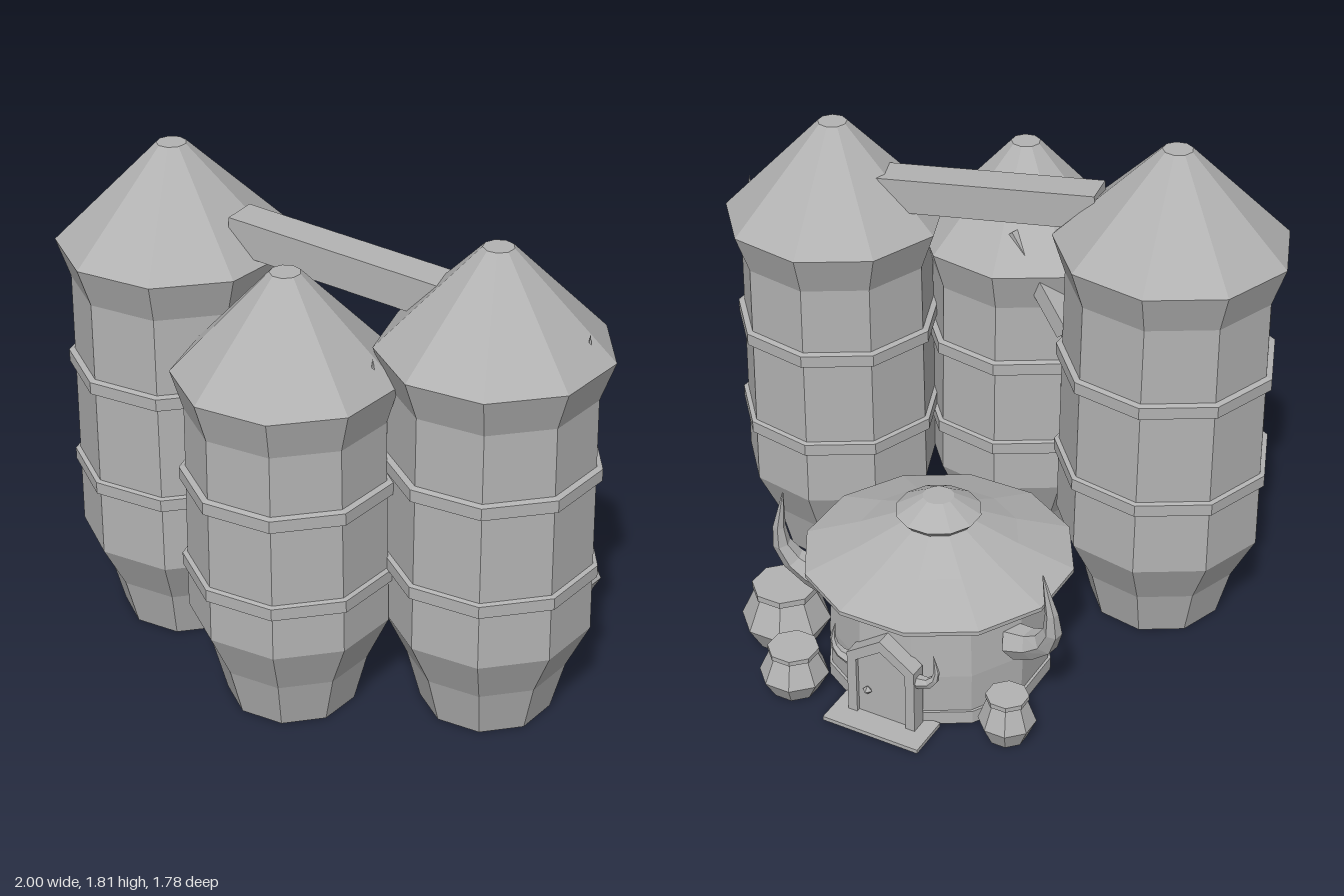
import * as THREE from 'three';

const stone = new THREE.MeshStandardMaterial({ color: 0xb2b2b2, flatShading: true });
stone.name = 'plainGrey';

function add(parent, name, geometry, x = 0, y = 0, z = 0) {
  const mesh = new THREE.Mesh(geometry, stone);
  mesh.name = name;
  mesh.position.set(x, y, z);
  parent.add(mesh);
  return mesh;
}

// faceted turned body from [radius, height] pairs, bottom to top
function turned(points, sides, start) {
  return new THREE.LatheGeometry(points.map(([r, y]) => new THREE.Vector2(r, y)), sides, start);
}

// closed rectangular bar between two points
function bar(parent, name, a, b, height, depth) {
  const mesh = add(parent, name, new THREE.BoxGeometry(depth, height, a.distanceTo(b)));
  mesh.position.copy(a).add(b).multiplyScalar(0.5);
  mesh.lookAt(b);
  return mesh;
}

// tapered curved horn: a tube whose rings shrink to the tip
function horn(points, radius) {
  const curve = new THREE.CatmullRomCurve3(points.map(p => new THREE.Vector3(...p)));
  const steps = 6, sides = 6;
  const geo = new THREE.TubeGeometry(curve, steps, radius, sides);
  const pos = geo.attributes.position, v = new THREE.Vector3();
  for (let i = 0; i <= steps; i++) {
    const c = curve.getPointAt(i / steps);
    for (let j = 0; j <= sides; j++) {
      const k = i * (sides + 1) + j;
      v.fromBufferAttribute(pos, k).sub(c).multiplyScalar(1 - 0.97 * i / steps).add(c);
      pos.setXYZ(k, v.x, v.y, v.z);
    }
  }
  return geo;
}

function silo(parent, { name, x, z, top, eave, wall, foot, rings }) {
  const g = new THREE.Group();
  g.name = name;
  g.position.set(x, 0, z);
  parent.add(g);
  const start = -Math.PI / 2, e = top - 0.35;
  add(g, 'siloBody', turned([[0, 0], [foot, 0], [foot + 0.047, 0.18], [wall, 0.35],
    [wall - 0.01, e - 0.14], [eave, e]], 9, start));
  add(g, 'siloRoof', turned([[eave, e], [0.052, top], [0, top]], 9, start));
  for (const y of rings) {
    add(g, 'siloBand', turned([[wall - 0.02, y - 0.028], [wall + 0.014, y - 0.024],
      [wall + 0.014, y + 0.02], [wall - 0.02, y + 0.028]], 9, start));
  }
}

function pot(parent, x, z, r, h) {
  add(parent, 'pot', turned([[0, 0], [r * 0.68, 0], [r, h * 0.4], [r * 0.68, h * 0.9],
    [r * 0.74, h * 0.9], [r * 0.74, h], [0, h]], 8, Math.PI / 8), x, 0, z);
}

function gable(w, eave, apex) {
  const s = new THREE.Shape();
  s.moveTo(-w, 0);
  s.lineTo(w, 0);
  s.lineTo(w, eave);
  s.lineTo(0, apex);
  s.lineTo(-w, eave);
  s.closePath();
  return s;
}

function hut(parent) {
  const g = new THREE.Group();
  g.name = 'hut';
  g.position.set(-0.065, 0, -0.38);
  parent.add(g);
  const start = Math.PI / 12;
  add(g, 'hutWall', turned([[0, 0], [0.4, 0], [0.4, 0.05], [0.39, 0.05], [0.395, 0.2], [0.38, 0.44]], 12, start));
  add(g, 'hutRoof', turned([[0.37, 0.42], [0.475, 0.435], [0.475, 0.45], [0.28, 0.525],
    [0.12, 0.6]], 12, start));
  add(g, 'roofCap', turned([[0.12, 0.59], [0.15, 0.622], [0.055, 0.68], [0, 0.68]], 12, start));

  // doorway on the back side with a stepped frame and a threshold
  const frame = gable(0.13, 0.25, 0.34);
  frame.holes.push(gable(0.095, 0.23, 0.295));
  add(g, 'doorFrame', new THREE.ExtrudeGeometry(frame, { depth: 0.06, bevelEnabled: false }), -0.01, 0.01, -0.43);
  add(g, 'door', new THREE.ExtrudeGeometry(gable(0.1, 0.23, 0.295), { depth: 0.04, bevelEnabled: false }), -0.01, 0.01, -0.415);
  add(g, 'doorKnob', new THREE.OctahedronGeometry(0.018), 0.045, 0.12, -0.425);
  add(g, 'threshold', new THREE.BoxGeometry(0.37, 0.015, 0.16), -0.01, 0.0075, -0.43);

  // mirrored horns on the walls and beside the door
  for (const s of [-1, 1]) {
    add(g, 'wallHorn', horn([[s * 0.36, 0.28, -0.13], [s * 0.47, 0.32, -0.15],
      [s * 0.53, 0.42, -0.18], [s * 0.5, 0.65, -0.2]], 0.065));
    add(g, 'doorHorn', horn([[s * 0.11 - 0.01, 0.21, -0.4], [s * 0.17 - 0.01, 0.22, -0.4],
      [s * 0.2 - 0.01, 0.26, -0.4], [s * 0.19 - 0.01, 0.34, -0.4]], 0.028));
  }
}

export function createModel() {
  const model = new THREE.Group();
  model.name = 'siloFarm';

  silo(model, { name: 'tallSilo', x: -0.59, z: 0.31, top: 1.81, eave: 0.41, wall: 0.373, foot: 0.24, rings: [1.015, 0.62] });
  silo(model, { name: 'shortSilo', x: 0.07, z: 0.51, top: 1.6, eave: 0.382, wall: 0.35, foot: 0.226, rings: [0.87, 0.535] });
  silo(model, { name: 'middleSilo', x: 0.627, z: 0.13, top: 1.71, eave: 0.396, wall: 0.356, foot: 0.229, rings: [0.95, 0.58] });

  // chutes linking the silos
  bar(model, 'longChute', new THREE.Vector3(-0.335, 1.555, 0.273), new THREE.Vector3(0.44, 1.49, 0.155), 0.125, 0.128);
  bar(model, 'shortChute', new THREE.Vector3(0.0, 1.36, 0.3), new THREE.Vector3(-0.25, 1.06, 0.24), 0.06, 0.09);

  // little roof spikes
  for (const [x, y, z] of [[0.93, 1.43, 0.05], [0.365, 1.32, 0.435]]) {
    add(model, 'roofSpike', new THREE.ConeGeometry(0.012, 0.07, 4), x, y, z);
  }

  hut(model);
  pot(model, 0.465, -0.55, 0.16, 0.23);
  pot(model, 0.29, -0.78, 0.122, 0.175);
  pot(model, -0.48, -0.66, 0.1, 0.175);
  return model;
}
